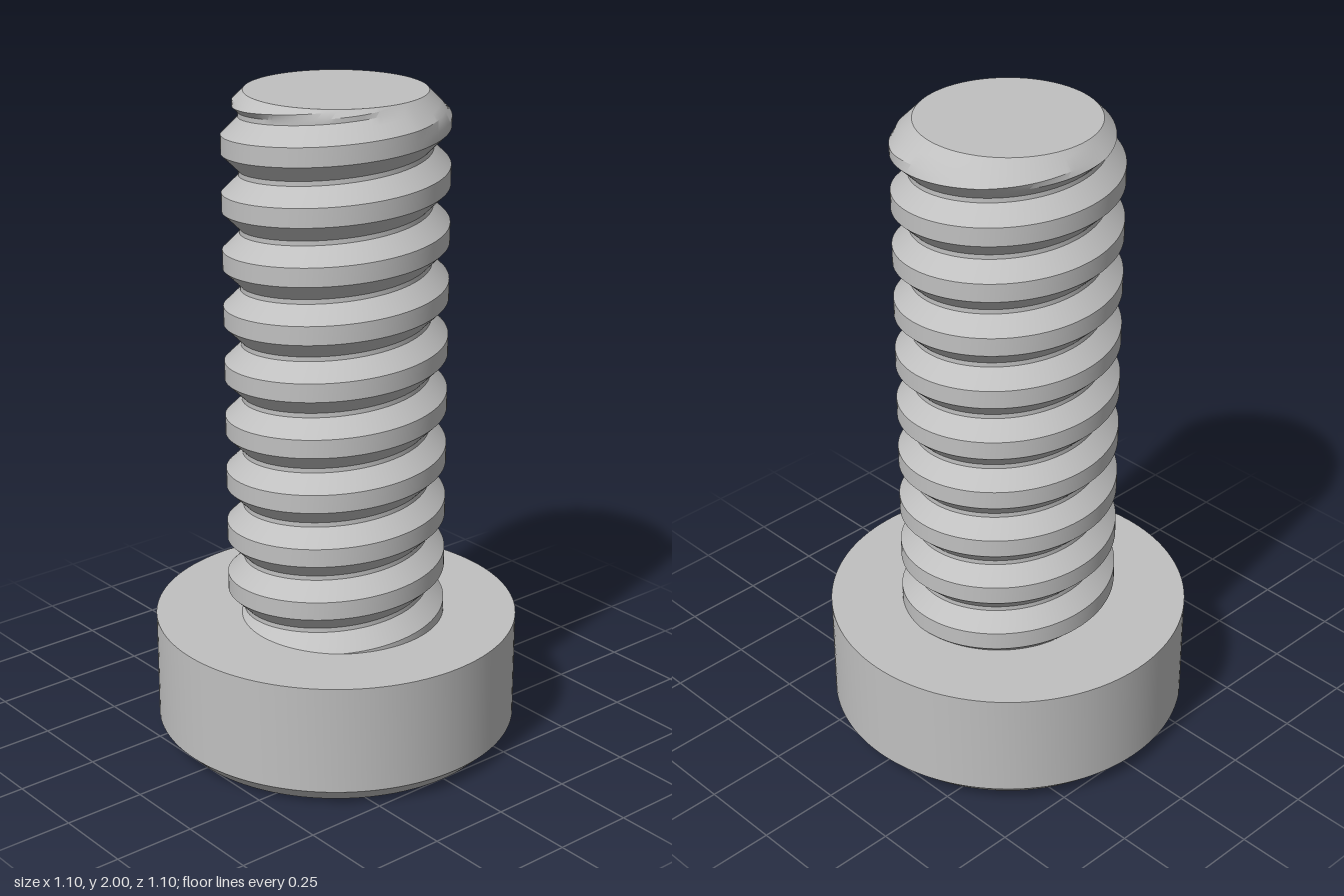
import * as THREE from 'three';
import { toCreasedNormals } from 'three/addons/utils/BufferGeometryUtils.js';

const HEAD_R = 0.552, HEAD_H = 0.385, CHAMFER = 0.05;
const SOCKET_R = 0.26, SOCKET_DEPTH = 0.28;
const TOP = 2, TIP_R = 0.265, CREST_R = 0.33, ROOT_R = 0.28;
const PITCH = 0.17, CREST_Y = 1.905, CREST_HALF = 0.028, FLANK = 0.05;
const SEGMENTS = 128;

// Radius of the threaded rod at a height and angle, cut by the tip chamfer
function threadRadius(y, turn) {
  const d = (y - CREST_Y) / PITCH - turn;
  const fromCrest = Math.abs(d - Math.round(d)) * PITCH;
  const t = THREE.MathUtils.clamp((fromCrest - CREST_HALF) / FLANK, 0, 1);
  return Math.min(CREST_R + (ROOT_R - CREST_R) * t, TIP_R + (TOP - y));
}

// Right-handed helical surface whose rows follow the thread edges
function threadGeometry() {
  const corner = CREST_HALF + FLANK, rows = [];
  const offsets = [-corner, -corner + FLANK / 3, -corner + 2 * FLANK / 3, -CREST_HALF, 0,
    CREST_HALF, CREST_HALF + FLANK / 3, CREST_HALF + 2 * FLANK / 3, corner];
  for (let k = -11; k <= 2; k++) for (const o of offsets) rows.push(CREST_Y + k * PITCH + o);

  const point = (row, i) => {
    const turn = i / SEGMENTS, a = turn * Math.PI * 2;
    const y = THREE.MathUtils.clamp(rows[row] + turn * PITCH, HEAD_H - 0.01, TOP);
    const r = threadRadius(y, turn);
    return new THREE.Vector3(r * Math.cos(a), y, -r * Math.sin(a));
  };
  const positions = [], tri = new THREE.Triangle();
  const add = (a, b, c) => {
    tri.set(a, b, c);
    if (tri.getArea() > 1e-9) for (const p of [a, b, c]) positions.push(p.x, p.y, p.z);
  };
  for (let r = 0; r < rows.length - 1; r++) {
    for (let i = 0; i < SEGMENTS; i++) {
      const a = point(r, i), b = point(r, i + 1), c = point(r + 1, i + 1), d = point(r + 1, i);
      add(a, b, c);
      add(a, c, d);
    }
  }
  const g = new THREE.BufferGeometry();
  g.setAttribute('position', new THREE.Float32BufferAttribute(positions, 3));
  return toCreasedNormals(g, 0.5);
}

export function createModel() {
  const group = new THREE.Group();
  const steel = new THREE.MeshStandardMaterial({ color: 0xc0c0c0 });
  steel.name = 'steel';
  const add = (name, geometry, parent = group) => {
    const mesh = new THREE.Mesh(geometry, steel);
    mesh.name = name;
    parent.add(mesh);
    return mesh;
  };

  // Head: chamfered disc, with a ring-shaped underside around the socket
  const head = new THREE.Group();
  head.name = 'head';
  group.add(head);
  const profile = [[HEAD_R - CHAMFER, 0], [HEAD_R, CHAMFER], [HEAD_R, HEAD_H], [0, HEAD_H]]
    .map(([x, y]) => new THREE.Vector2(x, y));
  add('headBody', toCreasedNormals(new THREE.LatheGeometry(profile, SEGMENTS), 0.5), head);

  const face = new THREE.Shape().absarc(0, 0, HEAD_R - CHAMFER, 0, Math.PI * 2);
  const hexagon = [];
  for (let i = 0; i < 6; i++) {
    const a = -i * Math.PI / 3;
    hexagon.push(new THREE.Vector2(SOCKET_R * Math.cos(a), SOCKET_R * Math.sin(a)));
  }
  face.holes.push(new THREE.Path(hexagon));
  add('headFace', new THREE.ShapeGeometry(face, SEGMENTS / 2).rotateX(Math.PI / 2), head);

  // Hexagonal socket: inward-facing walls and a flat floor
  const walls = new THREE.CylinderGeometry(SOCKET_R, SOCKET_R, SOCKET_DEPTH, 6, 1, true)
    .rotateY(Math.PI / 6).scale(-1, 1, 1).translate(0, SOCKET_DEPTH / 2, 0).toNonIndexed();
  walls.computeVertexNormals();
  add('socketWalls', walls, head);
  add('socketFloor', new THREE.CircleGeometry(SOCKET_R, 6)
    .rotateX(Math.PI / 2).translate(0, SOCKET_DEPTH, 0), head);

  // Threaded shank and its flat tip
  add('threadedShank', threadGeometry());
  add('shankTip', new THREE.CircleGeometry(TIP_R, SEGMENTS)
    .rotateX(-Math.PI / 2).translate(0, TOP, 0));

  return group;
}
